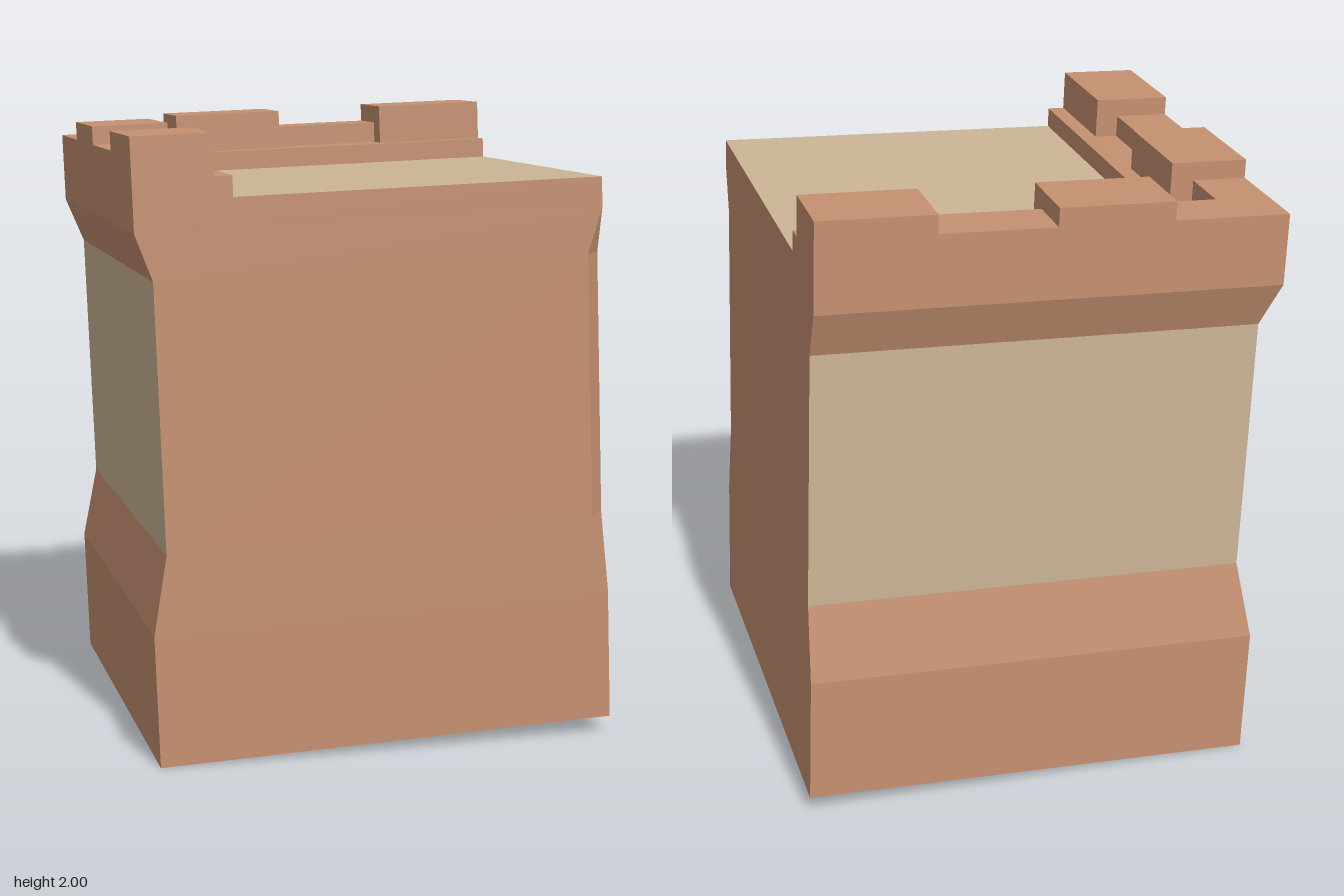
import * as THREE from 'three';

const H = 0.74;          // half width of the square footprint
const Q = H / 2;         // length of one battlement bay
const FLOOR = 1.75, LEDGE = 1.815, LOW = 1.885, HIGH = 1.945;

// Levels of the tower body: [height, waist recess]
const LEVELS = [[0, 0], [0.42, 0], [0.67, 0.05], [1.51, 0.05], [1.655, 0], [FLOOR, 0]];

// Footprint at one level: back and left sides draw in, the front right edge is bevelled
function ring([y, r]) {
  return [
    [-H + r, y, -H + r], [H, y, -H + r], [H, y, H - r], [H - r, y, H], [-H + r, y, H],
  ];
}

function facets(points) {
  const g = new THREE.BufferGeometry();
  g.setAttribute('position', new THREE.Float32BufferAttribute(points.flat(), 3));
  g.computeVertexNormals();
  return g;
}

// L-shaped course running along the left and back sides
function cornerCourse(depth, y0, y1) {
  const i = -H + depth;
  const pts = [[-H, -H], [i, -H], [i, -i], [H, -i], [H, H], [-H, H]];
  const shape = new THREE.Shape(pts.map(([x, s]) => new THREE.Vector2(x, s)));
  return new THREE.ExtrudeGeometry(shape, { depth: y1 - y0, bevelEnabled: false })
    .rotateX(-Math.PI / 2).translate(0, y0, 0);
}

export function createModel() {
  const brick = new THREE.MeshStandardMaterial({ color: 0xc69171 });
  brick.name = 'brick';
  const plaster = new THREE.MeshStandardMaterial({ color: 0xccb596 });
  plaster.name = 'plaster';

  const tower = new THREE.Group();
  tower.name = 'tower';
  const add = (name, geometry, material) => {
    const m = new THREE.Mesh(geometry, material);
    m.name = name;
    tower.add(m);
    return m;
  };

  // Body sides, with plaster panels in the waist of the back and left sides
  const rings = LEVELS.map(ring);
  const wall = [], panel = [];
  for (let i = 0; i < rings.length - 1; i++) {
    for (let k = 0; k < 5; k++) {
      const n = (k + 1) % 5;
      const a = rings[i][k], b = rings[i][n], c = rings[i + 1][k], d = rings[i + 1][n];
      const target = i === 2 && (k === 0 || k === 4) ? panel : wall;
      target.push(a, c, b, b, c, d);
    }
  }
  // Underside
  const [a, b, c, , d] = rings[0];
  wall.push(a, b, c, a, c, d);
  add('body', facets(wall), brick);
  add('wallPanels', facets(panel), plaster);

  // Roof floor
  const [e, f, g, , h] = rings[rings.length - 1];
  add('roofFloor', facets([e, g, f, e, h, g]), plaster);

  // Parapet: inner ledge and low wall
  add('ledge', cornerCourse(0.305, FLOOR, LEDGE), brick);
  add('lowWall', cornerCourse(0.175, LEDGE, LOW), brick);

  // Merlons in every other bay of both walls
  const depth = 0.25, height = HIGH - LEDGE;
  const y = LEDGE + height / 2, inset = -H + depth / 2;
  for (const along of [-Q / 2, 1.5 * Q]) {
    add('leftMerlon', new THREE.BoxGeometry(depth, height, Q), brick).position.set(inset, y, along);
    add('backMerlon', new THREE.BoxGeometry(Q, height, depth), brick).position.set(along, y, inset);
  }

  // Slight lean and turn of the whole tower
  tower.rotation.set(0, 0.037, 0.037, 'YXZ');
  tower.position.set(0.034, H * Math.sin(0.037), 0);

  const model = new THREE.Group();
  model.name = 'cornerTower';
  model.add(tower);
  return model;
}
